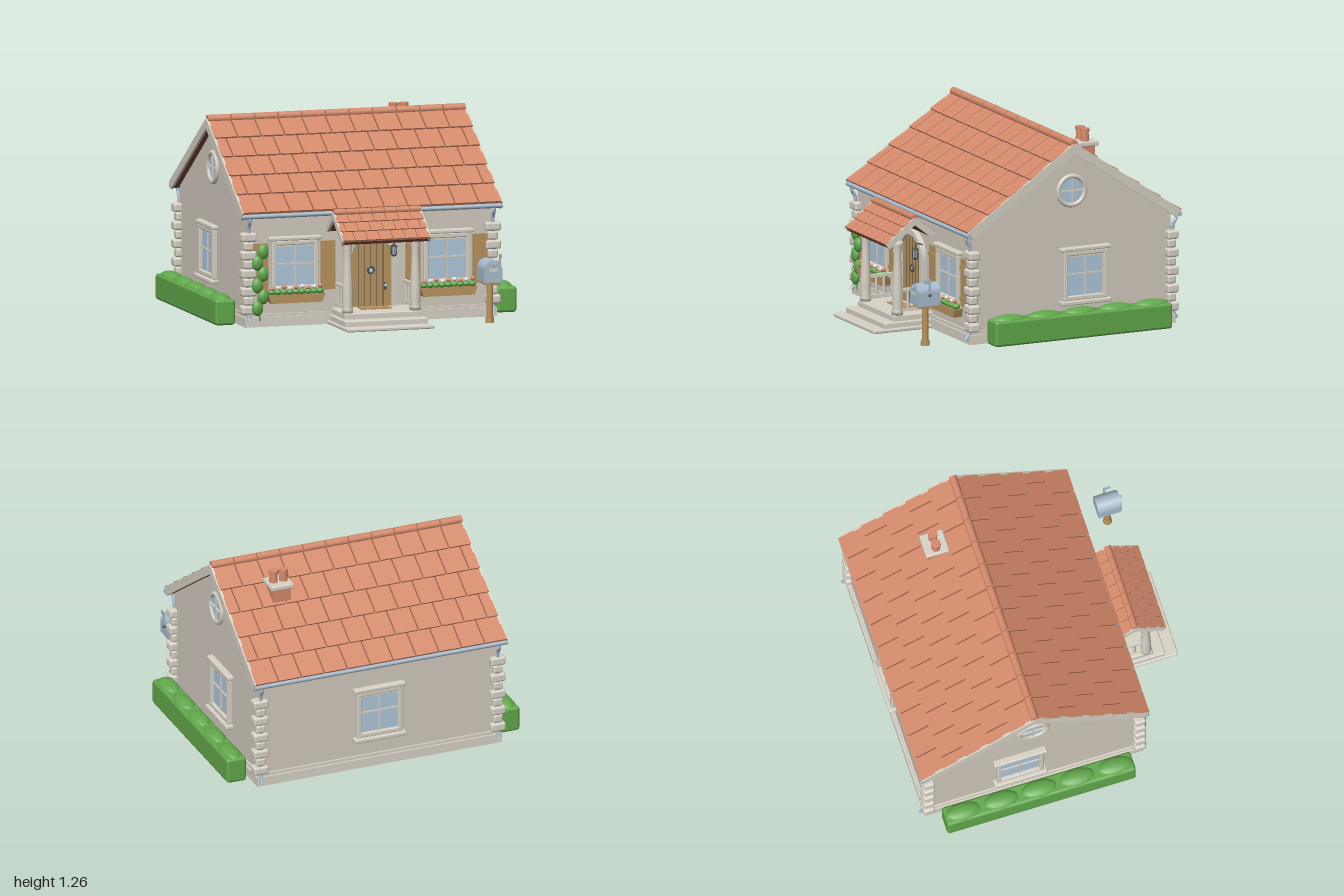
import * as THREE from 'three';
import { RoundedBoxGeometry } from 'three/addons/geometries/RoundedBoxGeometry.js';

const mat = (name, color) => {
  const m = new THREE.MeshStandardMaterial({ color });
  m.name = name;
  return m;
};

export function createModel() {
  const house = new THREE.Group();
  house.name = 'cottage';
  const plaster = mat('plaster', 0xd3cabf), stone = mat('stone', 0xd8d2c6), tile = mat('terracotta', 0xd48a6b);
  const underlay = mat('roof underlay', 0x7d4a38), wood = mat('wood', 0xb8935f), glass = mat('glass', 0xafc8dc);
  const leaf = mat('leaf', 0x62a84c), metal = mat('painted metal', 0xa9bccd), iron = mat('iron', 0x4a4642);
  const petal = mat('white petal', 0xf0ece6);

  const add = (parent, name, geo, m, x = 0, y = 0, z = 0) => {
    const mesh = new THREE.Mesh(geo, m);
    mesh.name = name;
    mesh.position.set(x, y, z);
    parent.add(mesh);
    return mesh;
  };
  const group = (parent, name, x = 0, y = 0, z = 0, ry = 0) => {
    const g = new THREE.Group();
    g.name = name;
    g.position.set(x, y, z);
    g.rotation.y = ry;
    parent.add(g);
    return g;
  };
  const box = (p, name, m, w, h, d, x, y, z) => add(p, name, new THREE.BoxGeometry(w, h, d), m, x, y, z);
  const soft = (p, name, m, w, h, d, x, y, z, r = 0.01) =>
    add(p, name, new RoundedBoxGeometry(w, h, d, 2, r), m, x, y, z);
  const ball = (p, name, m, rx, ry, rz, x, y, z) => {
    const b = add(p, name, new THREE.SphereGeometry(1, 16, 10), m, x, y, z);
    b.scale.set(rx, ry, rz);
    return b;
  };
  const tube = (p, name, m, pts, r) => add(p, name, new THREE.TubeGeometry(
    new THREE.CatmullRomCurve3(pts.map(q => new THREE.Vector3(...q)), false, 'catmullrom', 0.2), 32, r, 8), m);
  const extrude = (shape, depth) => new THREE.ExtrudeGeometry(shape, { depth, bevelEnabled: false, curveSegments: 20 });
  const arch = (w, y0, spring) => {
    const s = new THREE.Shape();
    s.moveTo(-w, y0);
    s.lineTo(w, y0);
    s.lineTo(w, spring);
    s.absarc(0, spring, w, 0, Math.PI, false);
    s.closePath();
    return s;
  };

  // Walls: gable section run along x
  const CZ = -0.19;
  const section = new THREE.Shape([[-0.7, 0.03], [0.7, 0.03], [0.7, 0.725], [0, 1.195], [-0.7, 0.725]]
    .map(p => new THREE.Vector2(...p)));
  const walls = add(house, 'walls', extrude(section, 1.62), plaster, 0.81, 0, CZ);
  walls.rotation.y = -Math.PI / 2;
  box(house, 'plinth', stone, 1.67, 0.06, 1.45, 0, 0.03, CZ);
  box(house, 'plinthLedge', stone, 1.645, 0.02, 1.425, 0, 0.07, CZ);

  // Corner stones
  for (const sx of [-1, 1]) for (const sz of [-1, 1]) {
    const g = group(house, 'cornerStones', sx * 0.81, 0, CZ + sz * 0.7);
    for (let i = 0; i < 9; i++) {
      const wide = i % 2 === 0;
      soft(g, 'cornerStone', stone, wide ? 0.1 : 0.065, 0.056, wide ? 0.075 : 0.06, 0, 0.11 + i * 0.058, 0, 0.014);
    }
  }

  // Tiled gable roof; each slope is built flat with +z pointing down it
  function roof(name, width, apexY, apexZ, angle, slopes, rows, cols, t, ridgeR) {
    const g = group(house, name, 0, apexY, apexZ);
    const cw = width / cols, gap = cw * 0.06;
    slopes.forEach(([len, ry], k) => {
      const n = Math.max(1, Math.round(rows * len / slopes[0][0])), row = len / n;
      const side = group(g, k ? 'backSlope' : 'frontSlope', 0, 0, 0, ry);
      const s = group(side, 'slope');
      s.rotation.x = angle;
      box(s, 'underlay', underlay, width - 0.01, t, len, 0, -t / 2, len / 2);
      for (const sx of [-1, 1]) box(s, 'bargeboard', stone, 0.016, t * 1.75, len + 0.006, sx * (width / 2 - 0.004), -t * 0.3, len / 2);
      for (let r = 0; r < n; r++) {
        const odd = r % 2;
        for (let c = 0; c < cols + odd; c++) {
          const a = Math.max(-width / 2, -width / 2 + (c - odd / 2) * cw);
          const b = Math.min(width / 2, -width / 2 + (c + 1 - odd / 2) * cw);
          const m = box(s, 'roofTile', tile, b - a - gap, t * 0.4, row * 1.04, (a + b) / 2, t * 0.42, (r + 0.5) * row);
          m.rotation.x = -0.35 * t / row;
        }
      }
    });
    for (let c = 0; c < cols; c++) {
      const m = add(g, 'ridgeTile', new THREE.CylinderGeometry(ridgeR, ridgeR, cw - gap, 12), tile, -width / 2 + (c + 0.5) * cw, ridgeR * 0.6, 0);
      m.rotation.z = Math.PI / 2;
    }
  }
  roof('mainRoof', 1.72, 1.218, CZ, 0.592, [[0.894, 0], [0.894, Math.PI]], 5, 11, 0.032, 0.026);
  roof('porchRoof', 0.58, 0.713, 0.655, 0.66, [[0.245, 0], [0.17, Math.PI]], 3, 7, 0.022, 0.022);

  // Gutters and downpipes
  for (const s of [-1, 1]) {
    const gutter = add(house, 'gutter', new THREE.CylinderGeometry(0.015, 0.015, 1.73, 10), metal, 0, 0.708, CZ + s * 0.742);
    gutter.rotation.z = Math.PI / 2;
    for (const x of [-0.81, 0.81]) tube(house, 'downpipe', metal, [[x, 0.705, CZ + s * 0.742], [x, 0.67, CZ + s * 0.742],
      [x, 0.62, CZ + s * 0.715], [x, 0.1, CZ + s * 0.715], [x, 0.05, CZ + s * 0.73], [x, 0.03, CZ + s * 0.745]], 0.012);
  }

  // Four-pane window, facing +z before turning
  function windowUnit(x, y, z, ry, name) {
    const g = group(house, name, x, y, z, ry), w = 0.31, h = 0.32, f = 0.03;
    box(g, 'pane', glass, w - f, h - f, 0.008, 0, 0, 0.004);
    for (const s of [-1, 1]) {
      soft(g, 'frameSide', stone, f, h, 0.035, s * (w - f) / 2, 0, 0.012, 0.007);
      soft(g, 'frameRail', stone, w, f, 0.035, 0, s * (h - f) / 2, 0.012, 0.007);
    }
    box(g, 'innerFrameTop', stone, w - 2 * f, 0.012, 0.018, 0, h / 2 - f - 0.004, 0.009);
    box(g, 'glazingBar', stone, 0.009, h - f, 0.018, 0, 0, 0.008);
    box(g, 'glazingBar', stone, w - f, 0.009, 0.018, 0, 0.01, 0.008);
    soft(g, 'lintel', stone, 0.35, 0.026, 0.05, 0, h / 2 + 0.012, 0.015, 0.008);
    soft(g, 'sill', stone, 0.35, 0.028, 0.06, 0, -h / 2 - 0.012, 0.02, 0.008);
    return g;
  }
  windowUnit(0, 0.37, -0.89, Math.PI, 'backWindow');
  for (const s of [-1, 1]) {
    windowUnit(s * 0.81, 0.375, -0.28, s * Math.PI / 2, 'sideWindow');
    // Round attic window
    const r = group(house, 'roundWindow', s * 0.81, 0.925, CZ, s * Math.PI / 2);
    add(r, 'roundPane', new THREE.CircleGeometry(0.09, 32), glass, 0, 0, 0.005);
    add(r, 'roundFrame', new THREE.TorusGeometry(0.094, 0.015, 8, 36), stone, 0, 0, 0.006);
    box(r, 'glazingBar', stone, 0.01, 0.17, 0.016, 0, 0, 0.008);
    box(r, 'glazingBar', stone, 0.17, 0.01, 0.016, 0, 0, 0.008);

    // Front window with shutters and flower box
    const w = windowUnit(s * 0.505, 0.385, 0.51, 0, 'frontWindow');
    for (const t of [-1, 1]) {
      const sh = group(w, 'shutter', t * 0.222, -0.01, 0.009);
      for (let i = -1; i <= 1; i++) box(sh, 'shutterPlank', wood, 0.03, 0.31, 0.016, i * 0.032, 0, 0);
      for (const y of [-0.1, 0.1]) box(sh, 'shutterBatten', wood, 0.09, 0.025, 0.01, 0, y, 0.012);
    }
    const trough = new THREE.Shape([[-0.17, -0.03], [0.17, -0.03], [0.188, 0.025], [-0.188, 0.025]].map(p => new THREE.Vector2(...p)));
    add(w, 'flowerBox', extrude(trough, 0.06), wood, 0, -0.205, 0.005);
    for (let i = 0; i < 9; i++) {
      const x = -0.16 + i * 0.04;
      ball(w, 'foliage', leaf, 0.026, 0.02, 0.026, x, -0.165, 0.04);
      ball(w, 'flower', i % 2 ? petal : tile, 0.015, 0.014, 0.015, x, -0.142 + (i % 3) * 0.005, 0.048);
    }

    // Hedge with mounded top
    const h = group(house, 'hedge', s * 0.934, 0, CZ);
    soft(h, 'hedgeBody', leaf, 0.132, 0.165, 1.25, 0, 0.0875, 0, 0.018);
    for (let i = -2; i <= 2; i++) ball(h, 'hedgeMound', leaf, 0.06, 0.035, 0.118, 0, 0.162, i * 0.252);
  }

  // Door in arched stone surround
  const door = group(house, 'door', 0, 0, 0.51);
  const surround = arch(0.168, 0.09, 0.415);
  surround.holes.push(arch(0.134, 0.091, 0.415));
  add(door, 'doorSurround', extrude(surround, 0.035), stone);
  add(door, 'doorLeaf', extrude(arch(0.136, 0.09, 0.415), 0.015), wood);
  for (const x of [-0.08, -0.04, 0, 0.04, 0.08]) {
    const top = 0.405 + Math.sqrt(0.134 ** 2 - x * x);
    box(door, 'plankSeam', iron, 0.005, top - 0.1, 0.003, x, (top + 0.1) / 2, 0.0155);
  }
  add(door, 'peepholeRing', new THREE.TorusGeometry(0.02, 0.006, 8, 20), iron, 0, 0.33, 0.018);
  add(door, 'peepholePane', new THREE.CircleGeometry(0.02, 20), glass, 0, 0.33, 0.0185);
  box(door, 'handlePlate', iron, 0.016, 0.045, 0.006, 0.095, 0.225, 0.018);
  ball(door, 'doorKnob', metal, 0.011, 0.011, 0.011, 0.095, 0.23, 0.028);
  box(house, 'doormat', wood, 0.2, 0.008, 0.09, 0, 0.102, 0.61);

  // Wall lantern
  const lantern = group(house, 'lantern', 0.137, 0.455, 0.575);
  add(lantern, 'lanternGlass', new THREE.CylinderGeometry(0.019, 0.014, 0.05, 6), glass);
  add(lantern, 'lanternCap', new THREE.ConeGeometry(0.028, 0.022, 6), iron, 0, 0.036, 0);
  add(lantern, 'lanternBase', new THREE.CylinderGeometry(0.017, 0.012, 0.01, 6), iron, 0, -0.03, 0);
  for (let i = 0; i < 6; i++) box(lantern, 'lanternBar', iron, 0.004, 0.05, 0.004, 0.018 * Math.sin(i * Math.PI / 3), 0, 0.018 * Math.cos(i * Math.PI / 3));
  tube(lantern, 'lanternBracket', iron, [[0, 0.04, 0], [0, 0.065, -0.01], [0, 0.06, -0.04], [0, 0.04, -0.065]], 0.004);

  // Porch steps, columns and railings
  [[0.58, 0.024, 0.94], [0.55, 0.06, 0.86], [0.51, 0.098, 0.785]].forEach(([w, h, z]) =>
    soft(house, 'porchStep', stone, w, h, z - 0.5, 0, h / 2, (z + 0.5) / 2, 0.008));
  const profile = [[0, 0], [0.036, 0], [0.036, 0.025], [0.03, 0.035], [0.034, 0.09], [0.033, 0.15], [0.026, 0.3], [0.024, 0.4],
    [0.032, 0.415], [0.026, 0.43], [0.036, 0.45], [0.036, 0.475], [0, 0.475]].map(p => new THREE.Vector2(...p));
  for (const s of [-1, 1]) {
    const p = group(house, 'porchSide', s * 0.225, 0.097, 0.745);
    add(p, 'column', new THREE.LatheGeometry(profile, 20), stone);
    box(p, 'handrail', stone, 0.024, 0.02, 0.22, 0, 0.155, -0.12);
    box(p, 'bottomRail', stone, 0.02, 0.014, 0.22, 0, 0.025, -0.12);
    for (let i = 0; i < 3; i++) add(p, 'baluster', new THREE.CylinderGeometry(0.008, 0.01, 0.13, 8), stone, 0, 0.09, -0.075 - i * 0.055);
  }

  // Climbing vine
  const vine = group(house, 'vine', -0.74, 0, 0.545);
  tube(vine, 'vineStem', leaf, [[0, 0.04, 0], [-0.015, 0.15, 0], [0.012, 0.3, 0], [-0.012, 0.4, 0], [0.01, 0.5, 0]], 0.006);
  for (let i = 0; i < 6; i++) ball(vine, 'vineLeaf', leaf, 0.037, 0.048, 0.025, i % 2 ? 0.018 : -0.02, 0.122 + i * 0.072, 0.005);

  // Chimney with two pots
  const chimney = group(house, 'chimney', 0.492, 0, -0.428);
  box(chimney, 'chimneyStack', tile, 0.12, 0.2, 0.12, 0, 1.04, 0);
  soft(chimney, 'chimneyCap', stone, 0.155, 0.032, 0.155, 0, 1.15, 0, 0.008);
  for (const x of [-0.034, 0.034]) {
    add(chimney, 'chimneyPot', new THREE.CylinderGeometry(0.023, 0.028, 0.075, 16), tile, x, 1.2, 0);
    add(chimney, 'potRim', new THREE.CylinderGeometry(0.031, 0.031, 0.02, 16), tile, x, 1.236, 0);
  }

  // Letterbox on a post
  const post = group(house, 'letterbox', 0.705, 0, 0.788);
  add(post, 'post', new THREE.CylinderGeometry(0.02, 0.022, 0.26, 12), wood, 0, 0.13, 0);
  add(post, 'postFoot', new THREE.CylinderGeometry(0.027, 0.029, 0.035, 12), wood, 0, 0.0175, 0);
  box(post, 'postShelf', wood, 0.1, 0.016, 0.12, 0, 0.258, 0);
  add(post, 'boxBody', extrude(arch(0.06, 0.265, 0.345), 0.15), metal, 0, 0, -0.078);
  add(post, 'boxDoor', extrude(arch(0.054, 0.272, 0.344), 0.008), metal, 0, 0, 0.072);
  box(post, 'slotPlate', stone, 0.06, 0.02, 0.006, 0, 0.345, 0.082);
  ball(post, 'boxHandle', metal, 0.008, 0.016, 0.01, 0, 0.38, 0.084);
  box(post, 'flagArm', metal, 0.008, 0.1, 0.012, 0.066, 0.385, 0.0);
  box(post, 'flag', metal, 0.008, 0.028, 0.045, 0.066, 0.422, 0.016);
  ball(post, 'flagPivot', iron, 0.01, 0.01, 0.01, 0.066, 0.335, 0);

  return house;
}
